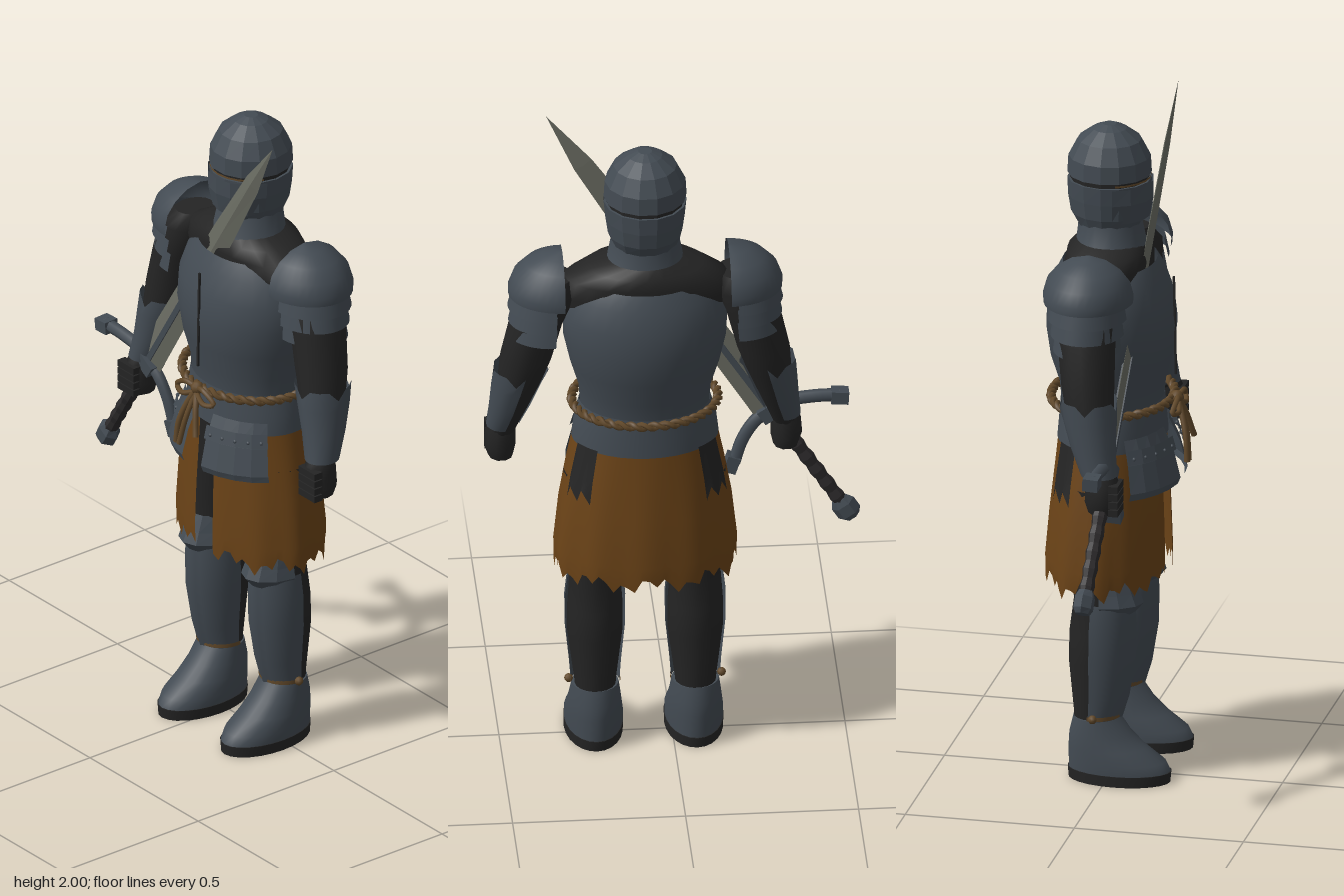
import * as THREE from 'three';

const paint = hex => new THREE.MeshStandardMaterial({ color: hex, side: THREE.DoubleSide });
const D = Math.PI / 180;

// Skin over horizontal elliptical rings [y, x, z, rx, rz], bottom to top.
// Angle 0 is +x, 90 is the front; a partial arc gives an open plate.
function loftGeometry(rings, { n = 24, start = 0, len = 360, cap = false, flat = false, warp } = {}) {
  const list = rings.slice();
  if (cap) {
    const a = list[0], b = list[list.length - 1];
    list.unshift([a[0], a[1], a[2], 0, 0], a);
    list.push(b, [b[0], b[1], b[2], 0, 0]);
  }
  const closed = len === 360, cols = closed ? n : n + 1;
  const pos = [], idx = [];
  list.forEach(([y, x, z, rx, rz], i) => {
    for (let j = 0; j < cols; j++) {
      const t = (start + len * j / n) * D;
      const p = new THREE.Vector3(x + rx * Math.cos(t), y, z + rz * Math.sin(t));
      if (warp) warp(p, i, j);
      pos.push(p.x, p.y, p.z);
    }
  });
  for (let i = 0; i < list.length - 1; i++) {
    for (let j = 0; j < n; j++) {
      const a = i * cols + j, b = i * cols + (j + 1) % cols;
      idx.push(b, a, a + cols, b, a + cols, b + cols);
    }
  }
  let g = new THREE.BufferGeometry();
  g.setAttribute('position', new THREE.Float32BufferAttribute(pos, 3));
  g.setIndex(idx);
  if (flat) g = g.toNonIndexed();
  g.computeVertexNormals();
  return g;
}

export function createModel() {
  const steel = paint(0x434b53), dark = paint(0x242424), cloth = paint(0x6b4317);
  const bladeGrey = paint(0x6a6c62), rope = paint(0x62492a), gripBlack = paint(0x2c2a2b);
  const model = new THREE.Group();
  const body = new THREE.Group();
  body.name = 'body';
  body.position.x = 0.08;
  model.add(body);

  const add = (name, geo, mat, parent = body) => {
    const m = new THREE.Mesh(geo, mat);
    m.name = name;
    parent.add(m);
    return m;
  };
  const loft = (name, mat, rings, opt, parent) => add(name, loftGeometry(rings, opt), mat, parent);
  const box = (name, mat, w, h, d, x, y, z, parent) => {
    const m = add(name, new THREE.BoxGeometry(w, h, d), mat, parent);
    m.position.set(x, y, z);
    return m;
  };
  const tube = (name, mat, pts, r, sides = 6, parent = body, closed = false) => {
    const curve = new THREE.CatmullRomCurve3(pts.map(p => new THREE.Vector3(...p)), closed);
    return add(name, new THREE.TubeGeometry(curve, pts.length * 4, r, sides, closed), mat, parent);
  };

  // Helmet: faceted bowl and face guard with a dark slit between
  const facet = { n: 14, cap: true, flat: true };
  loft('helmetBowl', steel, [[1.808, 0, -.03, .12, .122], [1.86, 0, -.03, .117, .119],
    [1.91, 0, -.03, .092, .093], [1.942, 0, -.03, .05, .05], [1.955, 0, -.03, .02, .02]], facet);
  loft('helmetSlit', dark, [[1.78, 0, -.03, .113, .115], [1.815, 0, -.03, .113, .115]], { n: 14, flat: true });
  loft('slitTrim', rope, [[1.797, 0, -.03, .118, .121], [1.803, 0, -.03, .118, .121]], { n: 8, start: 20, len: 140 });
  loft('helmetGuard', steel, [[1.655, 0, -.03, .095, .092], [1.69, 0, -.03, .108, .112],
    [1.74, 0, -.03, .115, .12], [1.793, 0, -.03, .12, .122]], facet);
  loft('visor', steel, [[1.68, 0, -.03, .102, .118], [1.74, 0, -.03, .118, .13], [1.79, 0, -.03, .122, .13]],
    { n: 6, start: 15, len: 150, flat: true });
  loft('gorget', steel, [[1.575, 0, -.025, .135, .115], [1.605, 0, -.025, .11, .1], [1.67, 0, -.028, .098, .09]]);

  // Torso: padded yoke below a bulging breast and back plate
  loft('yoke', dark, [[1.43, 0, -.03, .225, .11], [1.5, 0, -.03, .25, .12], [1.55, 0, -.03, .235, .122],
    [1.585, 0, -.03, .17, .118], [1.61, 0, -.028, .1, .095]]);
  loft('cuirass', steel, [[1.11, 0, -.02, .186, .145], [1.18, 0, -.02, .192, .152], [1.26, 0, -.022, .216, .176],
    [1.35, 0, -.023, .236, .187], [1.43, 0, -.026, .238, .18], [1.5, 0, -.028, .215, .158],
    [1.545, 0, -.028, .175, .135]], { n: 32 });
  box('breastSeam', dark, .006, .3, .006, 0, 1.35, .163).rotation.x = -.02;
  loft('fauld', steel, [[1.01, 0, -.02, .213, .157], [1.07, 0, -.02, .206, .152], [1.13, 0, -.02, .19, .148]], { n: 32 });

  // Skirt: pleated, ragged at the hem and slit in front
  loft('hips', dark, [[.82, 0, -.03, .18, .11], [1.05, 0, -.02, .19, .135]], { cap: true });
  loft('skirt', cloth, [[.6, 0, -.032, .262, .176], [.66, 0, -.032, .264, .178], [.8, 0, -.028, .25, .17],
    [.92, 0, -.024, .23, .16], [1.03, 0, -.02, .208, .152]], {
    n: 72, start: 99, len: 342, warp: (p, i, j) => {
      const k = 1 + .018 * Math.sin(j * .9) * (4 - i) / 4;
      p.x *= k;
      p.z *= k;
      if (i === 0) p.y += .018 * Math.sin(j * 2.1) + .014 * Math.sin(j * .75);
    },
  });
  for (const start of [312, 204]) {
    loft('skirtTear', dark, [[.85, 0, -.027, .253, .176], [.92, 0, -.024, .241, .171], [1.02, 0, -.02, .218, .161]],
      { n: 6, start, len: 24, warp: (p, i, j) => { if (i === 0) p.y += .04 * (j % 3) / 2; } });
  }
  // Tassets hung at the front of the hips
  for (const start of [100, 28]) {
    loft('tasset', steel, [[.88, 0, -.015, .25, .2], [.9, 0, -.015, .25, .208], [.98, 0, -.018, .23, .19],
      [1.05, 0, -.02, .208, .16]], { n: 4, start, len: 52, flat: true });
    loft('tassetBand', steel, [[.985, 0, -.018, .238, .198], [1.025, 0, -.018, .226, .186]],
      { n: 4, start, len: 52, flat: true });
    for (let k = 0; k < 5; k++) {
      const t = (start + 5 + k * 10.5) * D;
      add('rivet', new THREE.SphereGeometry(.006, 6, 4), steel)
        .position.set(.23 * Math.cos(t), 1.0, -.018 + .192 * Math.sin(t));
    }
  }

  // Rope belt of two twisted strands, knotted in front
  for (const phase of [0, Math.PI]) {
    const pts = [];
    for (let i = 0; i < 120; i++) {
      const t = i * 3 * D, w = i * Math.PI / 3 + phase, k = .007 * Math.cos(w);
      pts.push([(.211 + k) * Math.cos(t), 1.128 + .007 * Math.sin(w), -.02 + (.176 + k) * Math.sin(t)]);
    }
    tube('ropeBelt', rope, pts, .008, 5, body, true);
  }
  add('ropeKnot', new THREE.SphereGeometry(.02, 8, 6), rope).position.set(0, 1.13, .168);
  for (const s of [-1, 1]) {
    tube('ropeEnd', rope, [[0, 1.13, .17], [s * .02, 1.08, .19], [s * .038, 1.02, .205], [s * .045, s < 0 ? .95 : 1, .21]], .009);
    tube('ropeLoop', rope, [[0, 1.13, .17], [s * .04, 1.14, .18], [s * .085, 1.11, .175], [s * .05, 1.1, .185], [0, 1.12, .175]], .008);
  }
  tube('ropeTail', rope, [[0, 1.12, .172], [-.012, 1.04, .2], [-.03, .95, .212]], .008);

  // Both sides of the body: s = 1 is the left
  for (const s of [1, -1]) {
    const half = { n: 18, start: s > 0 ? -90 : 90, len: 180 };
    const arm = new THREE.Group();
    arm.name = s > 0 ? 'leftArm' : 'rightArm';
    body.add(arm);
    loft('sleeve', dark, [[1.0, s * .41, .038, .036, .04], [1.1, s * .385, .012, .05, .055], [1.2, s * .36, -.005, .065, .07],
      [1.28, s * .343, -.015, .076, .078], [1.4, s * .315, -.025, .078, .085], [1.5, s * .28, -.03, .085, .09],
      [1.55, s * .26, -.03, .05, .06]], { n: 16, cap: true }, arm);
    loft('vambrace', steel, [[1.025, s * .407, .033, .048, .052], [1.1, s * .388, .012, .06, .065],
      [1.18, s * .37, -.002, .072, .078], [1.24, s * .356, -.01, .083, .083]], {
      n: 14, start: s > 0 ? 265 : -5, len: 280,
      warp: (p, i, j) => { if (i === 3) p.y -= .03 * (j % 4 === 1 ? 1 : 0); },
    }, arm);
    // Pauldron dome with three overlapping lames below
    loft('pauldron', steel, [[1.5, s * .24, -.035, .156, .13], [1.525, s * .24, -.035, .157, .132],
      [1.565, s * .24, -.035, .142, .121], [1.6, s * .24, -.035, .108, .092], [1.625, s * .24, -.035, .06, .05],
      [1.635, s * .24, -.035, 0, 0]], half, arm);
    for (let k = 0; k < 3; k++) {
      const y = 1.465 - k * .047;
      loft('shoulderLame', steel, [[y - .008, s * .265, -.033, .133 - k * .002, .115 - k * .008],
        [y + .05, s * .26, -.033, .124, .104 - k * .006]], half, arm);
    }
    // Fist with four curled fingers
    loft('fist', dark, [[.915, s * .412, .045, .036, .042], [.95, s * .414, .045, .046, .052],
      [1.0, s * .412, .045, .044, .05], [1.03, s * .41, .04, .038, .042]], { n: 10, cap: true }, arm);
    for (let k = 0; k < 4; k++) box('finger', dark, .075, .02, .028, s * .418, .928 + k * .024, .085, arm);

    const leg = new THREE.Group();
    leg.name = s > 0 ? 'leftLeg' : 'rightLeg';
    leg.position.x = s * .145;
    body.add(leg);
    loft('trouser', dark, [[.1, 0, -.05, .056, .055], [.2, 0, -.04, .06, .06], [.36, 0, -.03, .08, .085],
      [.45, 0, -.028, .08, .085], [.55, 0, -.022, .073, .078], [.7, 0, -.025, .086, .092], [.9, 0, -.025, .09, .1]], { n: 18 }, leg);
    loft('greave', steel, [[.19, 0, -.036, .07, .07], [.26, 0, -.03, .075, .085], [.38, 0, -.026, .087, .1],
      [.48, 0, -.024, .088, .1], [.55, 0, -.022, .08, .094]], {
      n: 18, start: -8, len: 196, warp: (p, i, j) => { if (j === 9) p.z += .008; },
    }, leg);
    loft('kneeGuard', steel, [[.5, 0, -.02, .05, .088], [.545, 0, -.02, .086, .125], [.58, 0, -.02, .078, .11],
      [.63, 0, -.02, .07, .09]], { n: 6, start: 5, len: 170, flat: true }, leg);
    loft('ankleStrap', rope, [[.192, 0, -.036, .073, .073], [.204, 0, -.036, .073, .073]], { n: 16, start: -10, len: 200 }, leg);
    add('buckle', new THREE.SphereGeometry(.013, 8, 6), rope, leg).position.set(s * .076, .2, -.03);
    // Boot and sole
    loft('sole', dark, [[0, 0, .033, .085, .15], [.032, 0, .033, .086, .153]], { cap: true }, leg);
    loft('boot', steel, [[.032, 0, .033, .084, .15], [.06, 0, .026, .085, .143], [.1, 0, -.002, .08, .115],
      [.14, 0, -.022, .075, .092], [.19, 0, -.034, .068, .068]], { cap: true }, leg);
  }

  // Sword, built upright along y and then tilted through the right fist
  const sword = new THREE.Group();
  sword.name = 'sword';
  const low = new THREE.Vector3(-.51, .69, .03), axis = new THREE.Vector3(.355, 2, .11).sub(low).normalize();
  sword.position.copy(low);
  sword.quaternion.setFromUnitVectors(new THREE.Vector3(0, 1, 0), axis);
  model.add(sword);
  loft('blade', bladeGrey, [[.4, 0, 0, .05, .012], [1.1, 0, 0, .042, .011], [1.38, 0, 0, .03, .009],
    [1.572, 0, 0, 0, 0]], { n: 4, flat: true }, sword);
  box('fuller', steel, .018, .43, .027, 0, .64, 0, sword);
  loft('grip', gripBlack, Array.from({ length: 15 }, (_, i) => [.03 + i * .026, 0, 0, i % 2 ? .023 : .019, i % 2 ? .023 : .019]),
    { n: 8, flat: true }, sword);
  loft('pommel', steel, [[-.025, 0, 0, .024, .022], [-.01, 0, 0, .037, .03], [.025, 0, 0, .037, .03], [.045, 0, 0, .024, .022]],
    { n: 6, cap: true, flat: true }, sword);
  box('guardBlock', steel, .07, .045, .05, 0, .4, 0, sword);
  tube('crossguard', steel, [[-.19, .325, 0], [-.12, .368, 0], [-.05, .398, 0], [.05, .398, 0], [.12, .368, 0], [.18, .32, 0]],
    .019, 6, sword);
  for (const s of [-1, 1]) box('guardTip', steel, .05, .038, .045, s * .188, .323, 0, sword).rotation.z = -s * .65;

  return model;
}
